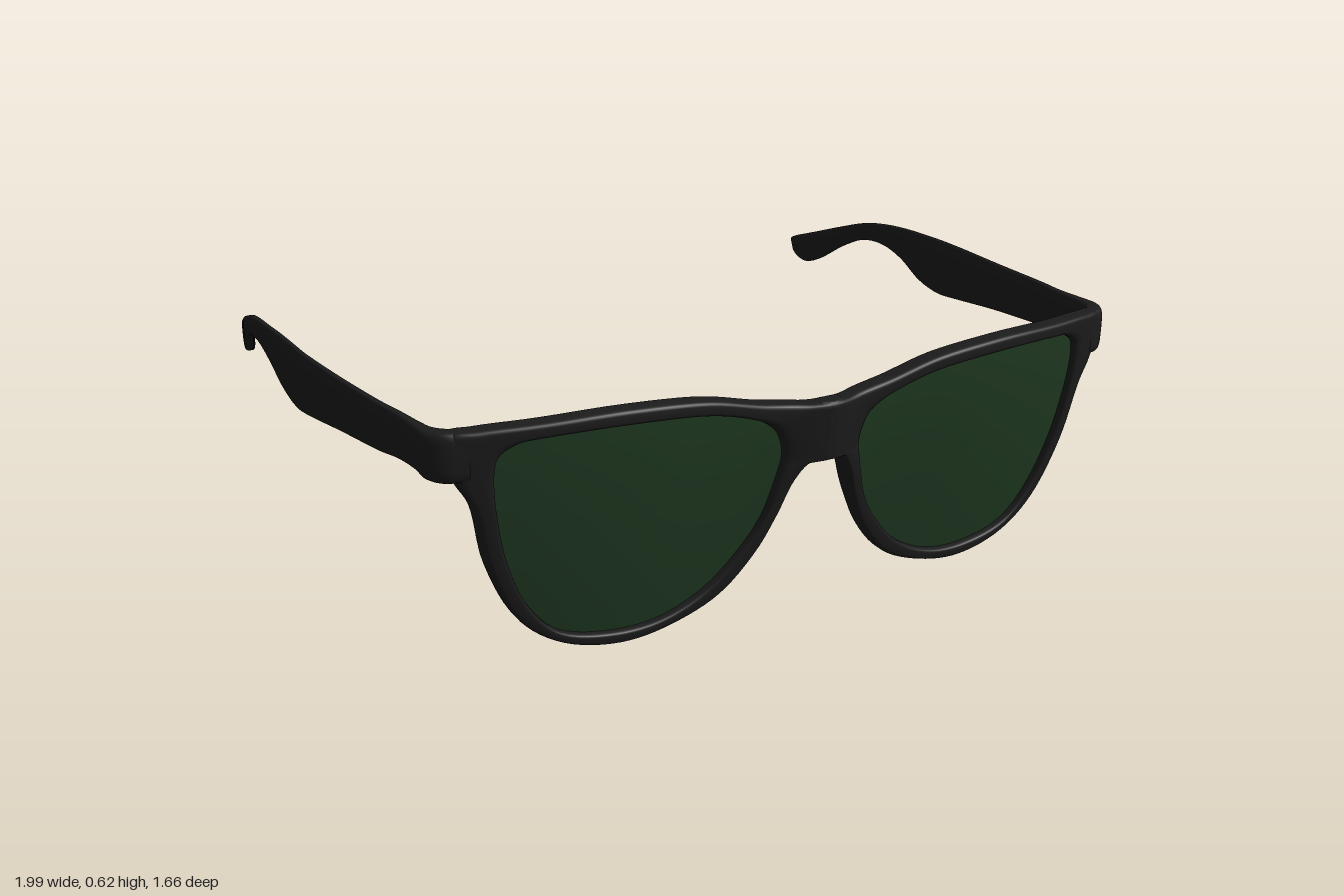
import * as THREE from 'three';

const V = (x, y, z = 0) => new THREE.Vector3(x, y, z);

// Pairs around one lens, counter-clockwise: lens edge x, y and frame edge x, y
const RIM = [
  [.785, .50, .875, .53], [.775, .54, .875, .595], [.735, .567, .82, .604], [.68, .575, .70, .61],
  [.5, .58, .5, .617], [.30, .565, .31, .603], [.18, .53, .16, .567], [.15, .513, .06, .553],
  [.125, .49, -.04, .55], [.108, .45, -.04, .485], [.105, .42, -.04, .415], [.11, .385, .035, .41],
  [.12, .34, .07, .365], [.14, .27, .105, .27], [.18, .2, .15, .175], [.27, .10, .235, .075],
  [.38, .045, .35, .022], [.5, .035, .48, 0], [.63, .065, .62, .03], [.70, .14, .72, .105],
  [.755, .27, .795, .26], [.78, .40, .83, .42], [.785, .46, .86, .475],
];

// Temple stations: x, z, thickness, top, bottom
const TEMPLE = [
  [.83, .697, .05, .60, .49], [.875, .678, .05, .602, .485], [.9, .645, .045, .60, .485],
  [.908, .6, .035, .597, .49], [.918, .5, .026, .59, .48], [.934, .4, .022, .585, .465],
  [.957, .2, .02, .575, .44], [.977, 0, .018, .568, .41], [.982, -.1, .018, .565, .40],
  [.985, -.2, .018, .56, .415], [.988, -.3, .018, .552, .455], [.987, -.4, .02, .54, .475],
  [.982, -.5, .025, .52, .465], [.97, -.6, .028, .487, .42], [.95, -.7, .03, .45, .355],
  [.937, -.76, .032, .428, .333], [.927, -.81, .028, .41, .35], [.921, -.835, .003, .397, .385],
];

const innerCurve = new THREE.CatmullRomCurve3(RIM.map(p => V(p[0], p[1])), true);
const outerCurve = new THREE.CatmullRomCurve3(RIM.map(p => V(p[2], p[3])), true);

// Front face of the frame: wraps round the head, leans back at the bottom, swells at the bridge
function frontZ(x, y) {
  const wrap = .33 * Math.max(0, Math.abs(x) - .35) ** 2;
  const lean = .2 * Math.max(0, .6 - y) ** 1.5;
  return .80 - wrap - lean + .03 * Math.exp(-((x / .07) ** 2));
}

// Frame depth, thicker at the nose pads
function depth(x, y) {
  return .055 + .02 * Math.exp(-(((x - .09) / .05) ** 2) - ((y - .35) / .1) ** 2);
}

// Rounded-rectangle cross-section with both coordinates in -1..1
function section(j, n) {
  const a = (j / n) * Math.PI * 2;
  const soft = v => Math.sign(v) * Math.sqrt(Math.abs(v));
  return [soft(Math.cos(a)), soft(Math.sin(a))];
}

// Surface through a grid of points; side -1 mirrors it across x = 0
function loft(rows, cols, point, side, closeRows, closeCols) {
  const pos = [], idx = [];
  for (let i = 0; i < rows; i++)
    for (let j = 0; j < cols; j++) {
      const p = point(i, j);
      pos.push(p.x * side, p.y, p.z);
    }
  for (let i = 0; i < (closeRows ? rows : rows - 1); i++)
    for (let j = 0; j < (closeCols ? cols : cols - 1); j++) {
      const i2 = (i + 1) % rows, j2 = (j + 1) % cols;
      const a = i * cols + j, b = i2 * cols + j, c = i2 * cols + j2, d = i * cols + j2;
      if (side > 0) idx.push(a, b, c, a, c, d);
      else idx.push(a, c, b, a, d, c);
    }
  const g = new THREE.BufferGeometry();
  g.setAttribute('position', new THREE.Float32BufferAttribute(pos, 3));
  g.setIndex(idx);
  g.computeVertexNormals();
  return g;
}

// Half of the front frame: a ring swept round the lens opening
function frameHalf(side) {
  const N = 138, K = 28;
  return loft(N, K, (i, j) => {
    const [u, v] = section(j, K);
    const p = innerCurve.getPoint(i / N).lerp(outerCurve.getPoint(i / N), .5 + .5 * u);
    p.z = frontZ(p.x, p.y) - depth(p.x, p.y) * (.5 - .5 * v);
    return p;
  }, side, true, true);
}

// Curved lens: shrinking rings from the opening to its middle
function lens(side) {
  const N = 92, K = 9, mid = V(.45, .33);
  return loft(N, K, (i, j) => {
    const p = innerCurve.getPoint(i / N).lerp(mid, j / (K - 1) * 1.01 - .01);
    p.z = frontZ(p.x, p.y) - .022;
    return p;
  }, side, true, false);
}

// Temple arm: flat rounded section following the hinge corner, the arm and the ear hook
function temple(side) {
  const N = 103, K = 24;
  const path = new THREE.CatmullRomCurve3(TEMPLE.map(s => V(s[0], 0, s[1])), false, 'catmullrom', .5);
  const size = new THREE.CatmullRomCurve3(TEMPLE.map(s => V(s[2], s[3], s[4])), false, 'catmullrom', .5);
  return loft(N, K, (i, j) => {
    const t = i / (N - 1), p = path.getPoint(t), s = size.getPoint(t), d = path.getTangent(t);
    const [u, v] = section(j, K);
    return V(p.x - d.z * u * s.x / 2, (s.y + s.z) / 2 + v * (s.y - s.z) / 2, p.z + d.x * u * s.x / 2);
  }, side, false, true);
}

export function createModel() {
  const model = new THREE.Group();
  model.name = 'sunglasses';
  const plastic = new THREE.MeshStandardMaterial({ color: 0x1c1c1c });
  const glass = new THREE.MeshStandardMaterial({ color: 0x203a22, side: THREE.DoubleSide });
  const add = (name, geometry, material) => {
    const mesh = new THREE.Mesh(geometry, material);
    mesh.name = name;
    model.add(mesh);
  };
  for (const [label, side] of [['left', 1], ['right', -1]]) {
    add(label + 'Frame', frameHalf(side), plastic);
    add(label + 'Lens', lens(side), glass);
    add(label + 'Temple', temple(side), plastic);
  }
  return model;
}
